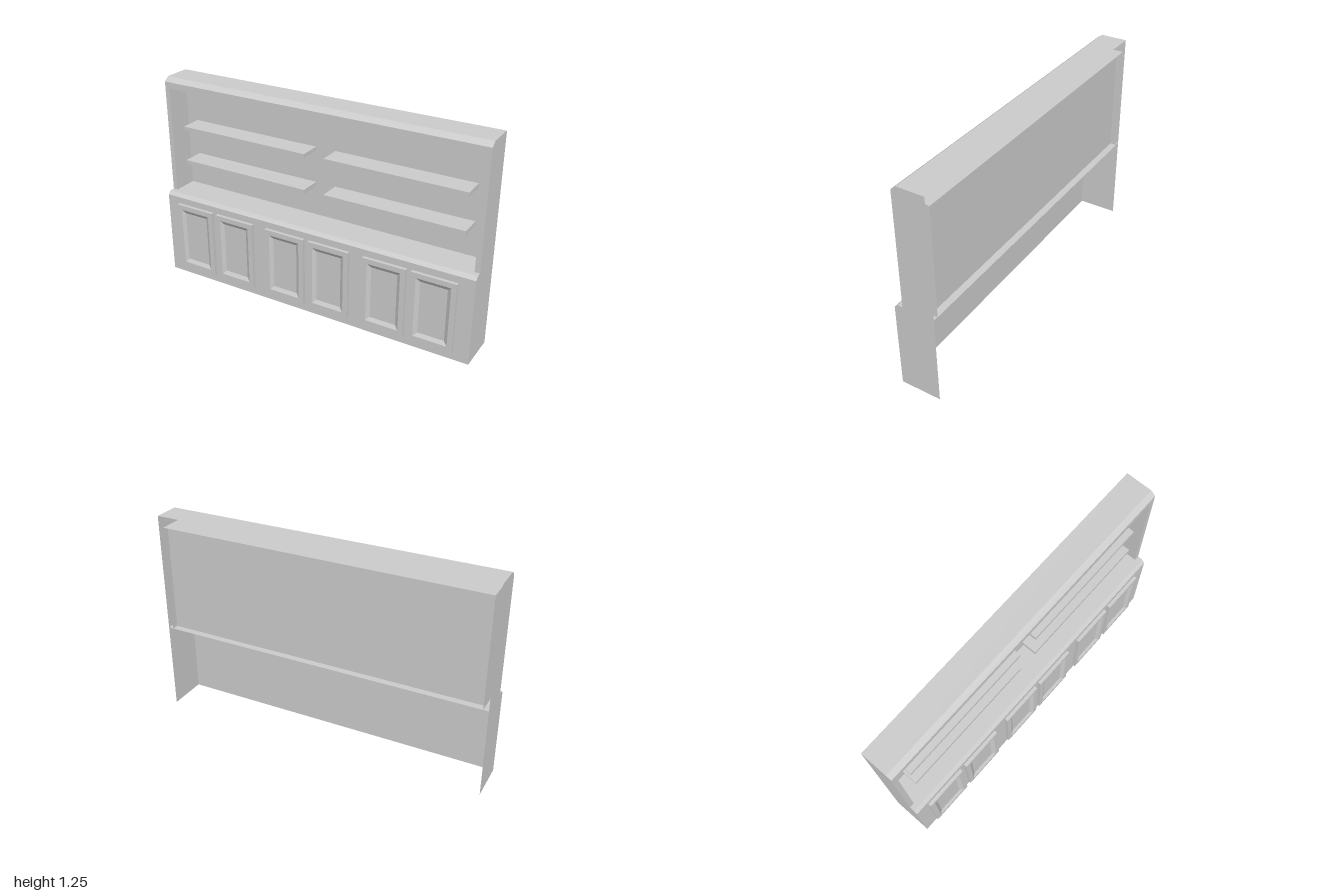
import * as THREE from 'three';

const material = new THREE.MeshStandardMaterial({ color: 0xcccccc, flatShading: true, side: THREE.DoubleSide });

const BACK = -0.13, COUNTER = 0.535, TOP = 1.245;
const HUTCH_FRONT = 0.06, BASE_FRONT = 0.11, PANEL_Z = -0.09;
const OPEN_X = 0.97, OPEN_TOP = 1.18;

function addMesh(parent, name, geometry) {
  const mesh = new THREE.Mesh(geometry, material);
  mesh.name = name;
  parent.add(mesh);
  return mesh;
}

// Flat-faced skin running through a list of equally long point rows
function skin(rows, closed = false) {
  const pos = [];
  for (let r = 0; r + 1 < rows.length; r++) {
    const a = rows[r], b = rows[r + 1], n = a.length;
    for (let i = 0; i < (closed ? n : n - 1); i++) {
      const j = (i + 1) % n;
      pos.push(...a[i], ...a[j], ...b[j], ...a[i], ...b[j], ...b[i]);
    }
  }
  const g = new THREE.BufferGeometry();
  g.setAttribute('position', new THREE.Float32BufferAttribute(pos, 3));
  g.computeVertexNormals();
  return g;
}

// Sheet with a (z, y) profile spanning the full width
const widthSheet = (profile) => skin(profile.map(([z, y]) => [[-1, y, z], [1, y, z]]));

const flatShape = (points) =>
  new THREE.ShapeGeometry(new THREE.Shape(points.map(([x, y]) => new THREE.Vector2(x, y))));

// Cabinet door: thin slab with a bevelled, sunken centre
function doorGeometry(w, h) {
  const ring = (inset, z) => {
    const x = w / 2 - inset, y = h / 2 - inset;
    return [[-x, -y, z], [x, -y, z], [x, y, z], [-x, y, z]];
  };
  const centre = [0, 0, 0.007];
  return skin([
    ring(0, 0), ring(0, 0.02), ring(0.03, 0.02), ring(0.052, 0.007),
    [centre, centre, centre, centre],
  ], true);
}

export function createModel() {
  const model = new THREE.Group();
  model.name = 'cabinetWithHutch';

  // Outer shell, open at the back and underneath
  addMesh(model, 'baseFrontAndCounter', widthSheet([
    [BASE_FRONT, 0], [BASE_FRONT, 0.515], [0.09, COUNTER], [BACK, COUNTER],
  ]));
  addMesh(model, 'hutchTop', widthSheet([
    [HUTCH_FRONT, 1.22], [0.03, TOP], [BACK, TOP],
  ]));
  for (const side of [-1, 1]) {
    const end = addMesh(model, side > 0 ? 'leftEnd' : 'rightEnd', flatShape([
      [-BASE_FRONT, 0], [-BACK, 0], [-BACK, TOP], [-0.03, TOP], [-HUTCH_FRONT, 1.22],
      [-HUTCH_FRONT, COUNTER], [-0.09, COUNTER], [-BASE_FRONT, 0.515],
    ]));
    end.rotation.y = Math.PI / 2; // shape x becomes -z
    end.position.x = side;
  }

  // Front frame around the hutch opening
  addMesh(model, 'hutchFrame', flatShape([
    [-1, COUNTER], [-OPEN_X, COUNTER], [-OPEN_X, OPEN_TOP], [OPEN_X, OPEN_TOP],
    [OPEN_X, COUNTER], [1, COUNTER], [1, 1.22], [-1, 1.22],
  ])).position.z = HUTCH_FRONT;

  // Niche lining and its set-in back panel
  const outline = [[-OPEN_X, COUNTER], [-OPEN_X, OPEN_TOP], [OPEN_X, OPEN_TOP], [OPEN_X, COUNTER]];
  addMesh(model, 'nicheLining',
    skin(outline.map(([x, y]) => [[x, y, HUTCH_FRONT], [x, y, BACK]])));
  addMesh(model, 'nicheBackPanel', flatShape(outline)).position.z = PANEL_Z;

  // Four shelves
  for (const x of [-0.48, 0.48]) {
    for (const y of [0.728, 0.943]) {
      addMesh(model, 'shelf', new THREE.BoxGeometry(0.836, 0.024, 0.13)).position.set(x, y, -0.025);
    }
  }

  // Three pairs of doors
  const door = doorGeometry(0.26, 0.422);
  for (const pair of [-0.643, -0.003, 0.634]) {
    for (const side of [-1, 1]) {
      addMesh(model, 'door', door).position.set(pair + side * 0.145, 0.264, BASE_FRONT);
    }
  }
  return model;
}
